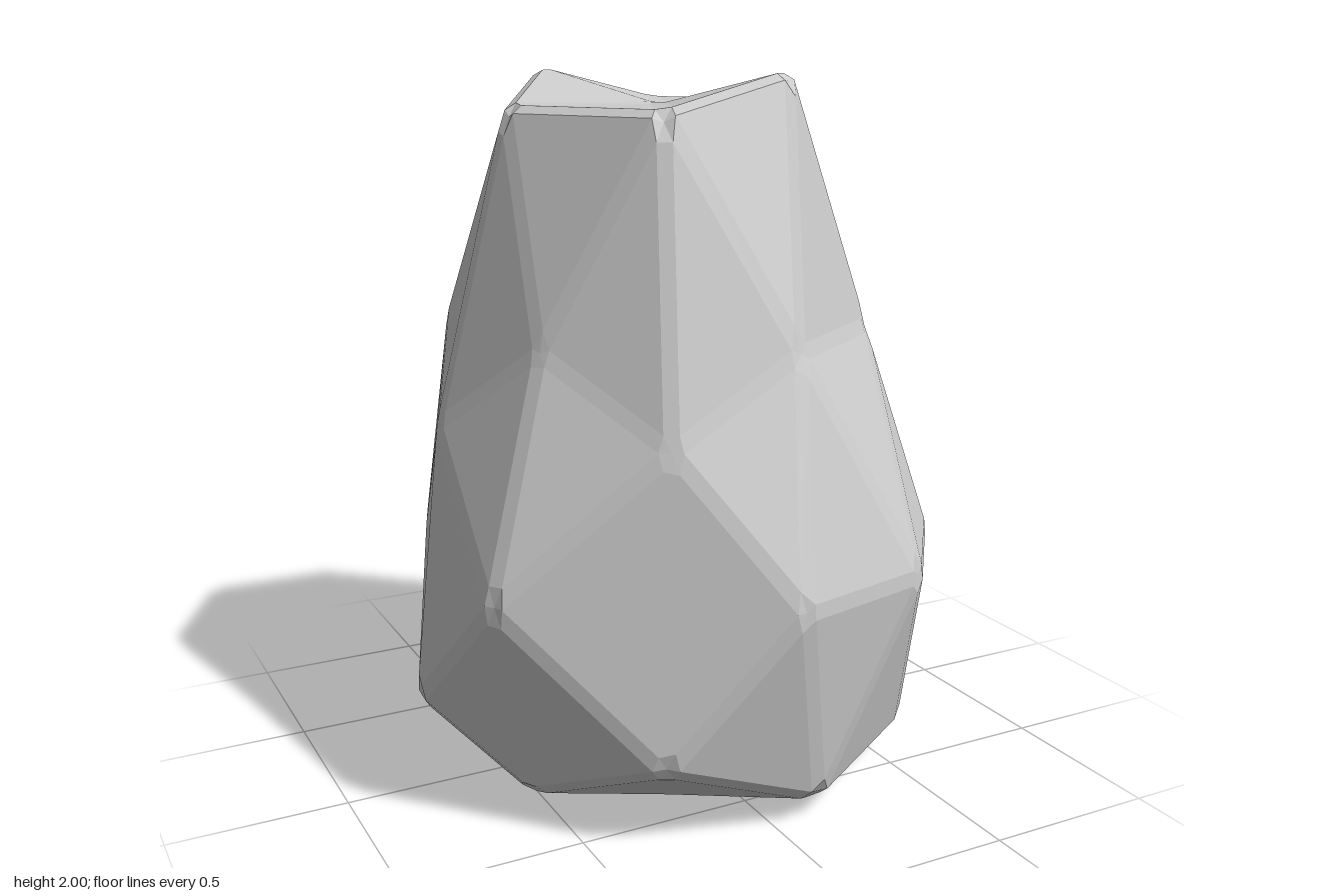
import * as THREE from 'three';
import { mergeVertices } from 'three/addons/utils/BufferGeometryUtils.js';

// Corner points of the boulder, ring by ring from top to bottom,
// each ring running round from +x towards +z
const RINGS = [
  [[0, 1.91, -0.04]],
  [[0.46, 1.915, -0.04], [0.205, 2.01, 0.34], [-0.205, 1.915, 0.4], [-0.46, 1.915, -0.04], [-0.205, 2.01, -0.42], [0.205, 1.915, -0.48]],
  [[0.67, 1.05, -0.05], [0.475, 1.3, 0.335], [0.1, 1.3, 0.59], [-0.28, 1.08, 0.59], [-0.51, 1.3, 0.285],
    [-0.68, 1.05, -0.05], [-0.5, 1.3, -0.45], [-0.13, 1.34, -0.81], [0.3, 1.05, -0.71], [0.51, 1.33, -0.39]],
  [[0.72, 0.67, 0.335], [0.43, 0.67, 0.71], [0, 0.67, 0.81], [-0.71, 0.67, 0.405],
    [-0.62, 0.67, -0.37], [-0.34, 0.67, -0.65], [0.03, 0.67, -0.78], [0.59, 0.7, -0.44]],
  [[0.77, 0.25, -0.05], [0.585, 0.08, 0.41], [0.12, 0.07, 0.7], [-0.34, 0.24, 0.68], [-0.585, 0.09, 0.34],
    [-0.77, 0.25, -0.05], [-0.56, 0.08, -0.5], [-0.13, 0.06, -0.76], [0.33, 0.23, -0.75], [0.58, 0.08, -0.44]],
  [[0.45, 0.03, -0.04], [0.2, 0.01, 0.33], [-0.2, 0.015, 0.39], [-0.45, 0.03, -0.04], [-0.2, 0.01, -0.41], [0.2, 0.015, -0.47]],
  [[0, 0, -0.04]],
];

// Triangles over the ring points, with the connections of a once-divided icosahedron
function rockCage() {
  const ico = new THREE.IcosahedronGeometry(1, 1);
  ico.deleteAttribute('normal');
  ico.deleteAttribute('uv');
  const ball = mergeVertices(ico, 1e-3);
  const pos = ball.attributes.position;
  const limits = [0.95, 0.7, 0.2, -0.2, -0.7, -0.95];
  const keys = [];
  for (let i = 0; i < pos.count; i++) {
    const y = pos.getY(i);
    const ring = limits.filter((limit) => y < limit).length;
    const degrees = THREE.MathUtils.radToDeg(Math.atan2(pos.getZ(i), pos.getX(i)));
    keys.push({ i, ring, angle: (degrees + 440) % 360 });
  }
  keys.sort((a, b) => a.ring - b.ring || a.angle - b.angle);
  const points = [];
  RINGS.flat().forEach((p, n) => { points[keys[n].i] = new THREE.Vector3(...p); });
  const index = Array.from(ball.index.array);
  const faces = [];
  for (let i = 0; i < index.length; i += 3) faces.push(index.slice(i, i + 3));
  return { points, faces };
}

// Narrow flat bevel along every edge and over every corner
function bevelled({ points, faces }, width) {
  const out = [];
  const tri = (...corners) => corners.forEach((c) => out.push(c.x, c.y, c.z));
  const inset = new Map(); // "from,to" edge -> shrunken corners at its two ends
  const next = points.map(() => new Map()); // walk of faces round each corner

  for (const face of faces) {
    const small = face.map((v, k) => {
      const p = points[v];
      const u = points[face[(k + 1) % 3]].clone().sub(p).normalize();
      const w = points[face[(k + 2) % 3]].clone().sub(p).normalize();
      const reach = width / Math.sin(u.angleTo(w));
      return p.clone().addScaledVector(u.add(w), reach);
    });
    tri(...small);
    face.forEach((v, k) => {
      const to = face[(k + 1) % 3];
      inset.set(`${v},${to}`, [small[k], small[(k + 1) % 3]]);
      next[v].set(to, { point: small[k], to: face[(k + 2) % 3] });
    });
  }

  // Edge strips
  for (const [key, [a, b]] of inset) {
    const [from, to] = key.split(',').map(Number);
    if (from > to) continue;
    const [c, d] = inset.get(`${to},${from}`);
    tri(a, d, c);
    tri(a, c, b);
  }

  // Corner caps
  for (const fan of next) {
    const loop = [];
    const start = fan.keys().next().value;
    let at = start;
    do {
      loop.push(fan.get(at).point);
      at = fan.get(at).to;
    } while (at !== start);
    const centre = loop.reduce((sum, p) => sum.add(p), new THREE.Vector3()).divideScalar(loop.length);
    loop.forEach((p, k) => tri(centre, p, loop[(k + 1) % loop.length]));
  }

  const geometry = new THREE.BufferGeometry();
  geometry.setAttribute('position', new THREE.Float32BufferAttribute(out, 3));
  geometry.computeVertexNormals();
  return geometry;
}

export function createModel() {
  const group = new THREE.Group();
  group.name = 'rock';
  const material = new THREE.MeshStandardMaterial({ color: 0xcccccc, flatShading: true });
  const boulder = new THREE.Mesh(bevelled(rockCage(), 0.022), material);
  boulder.name = 'boulder';
  group.add(boulder);
  return group;
}
